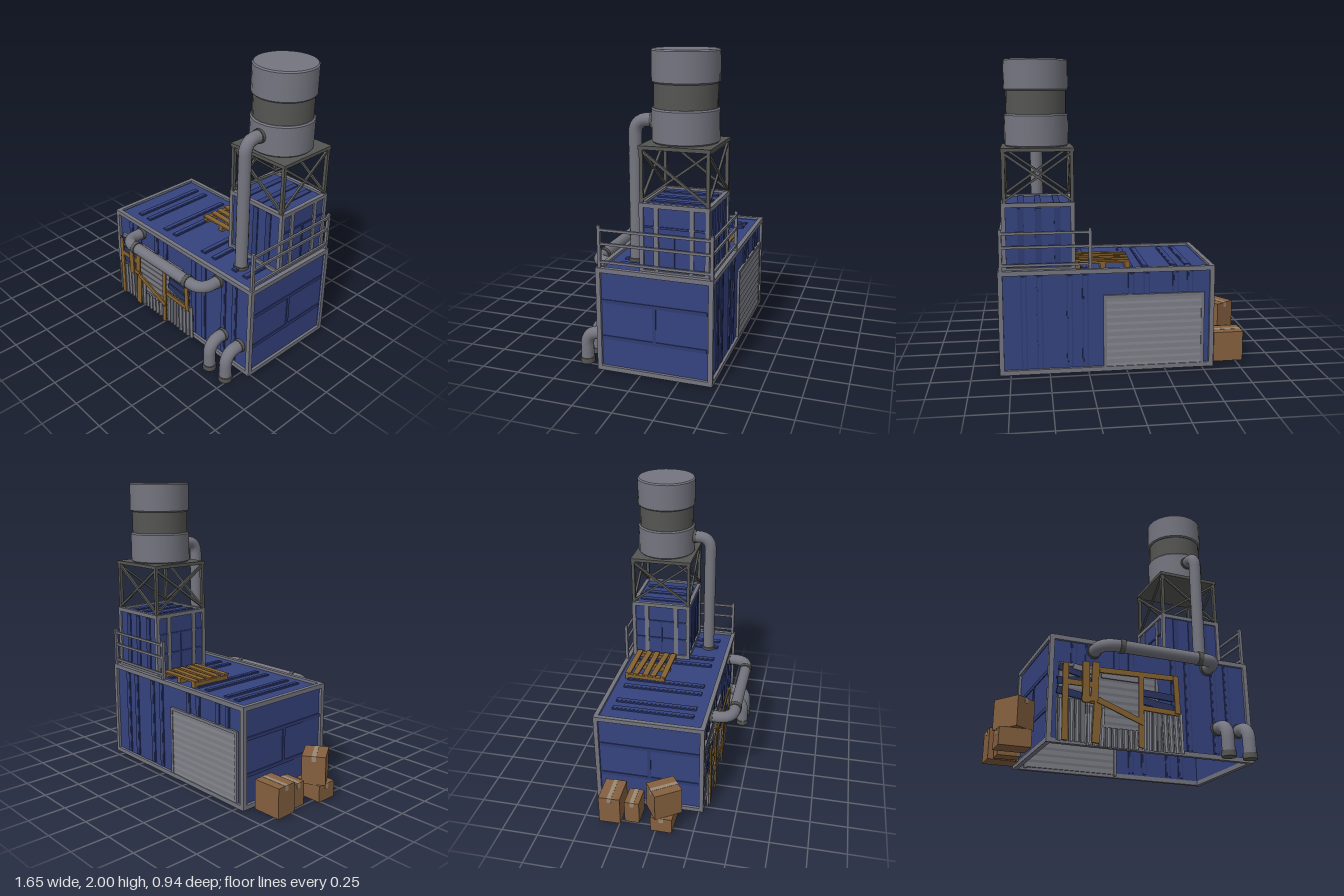
import * as THREE from 'three';

const mat = (color, extra = {}) => new THREE.MeshStandardMaterial({ color, ...extra });
const V = (x, y, z) => new THREE.Vector3(x, y, z);

export function createModel() {
  const root = new THREE.Group();
  const M = {
    frame: mat(0x74757f), blue: mat(0x35437f), rib: mat(0x303c74), darkBlue: mat(0x2a3563),
    dark: mat(0x555553), tank: mat(0x74757f), wood: mat(0x85622f), slat: mat(0x7d7e86),
    card: mat(0x85603f), tape: mat(0x9a8a75),
    sheet: mat(0x7f8088, { flatShading: true, side: THREE.DoubleSide }),
  };

  const group = (name, parent = root) => {
    const g = new THREE.Group();
    g.name = name;
    parent.add(g);
    return g;
  };
  const add = (parent, name, geo, m, x = 0, y = 0, z = 0) => {
    const mesh = new THREE.Mesh(geo, m);
    mesh.name = name;
    mesh.position.set(x, y, z);
    parent.add(mesh);
    return mesh;
  };
  // box given by its minimum and maximum corners
  const box = (p, name, m, x0, x1, y0, y1, z0, z1) =>
    add(p, name, new THREE.BoxGeometry(x1 - x0, y1 - y0, z1 - z0), m, (x0 + x1) / 2, (y0 + y1) / 2, (z0 + z1) / 2);
  // square bar between two points
  const bar = (p, name, m, a, b, w, d = w) => {
    const mesh = add(p, name, new THREE.BoxGeometry(w, d, a.distanceTo(b)), m);
    mesh.position.copy(a).lerp(b, 0.5);
    mesh.lookAt(b);
    return mesh;
  };
  // twelve edge beams of a box
  const edges = (p, x0, x1, y0, y1, z0, z1, w) => {
    for (const y of [y0, y1 - w]) {
      for (const z of [z0, z1 - w]) box(p, 'longBeam', M.frame, x0, x1, y, y + w, z, z + w);
      for (const x of [x0, x1 - w]) box(p, 'crossBeam', M.frame, x, x + w, y, y + w, z0, z1);
    }
    for (const x of [x0, x1 - w]) for (const z of [z0, z1 - w])
      box(p, 'cornerPost', M.frame, x, x + w, y0, y1, z, z + w);
  };
  // round pipe with rounded corners
  const pipe = (p, name, pts, r, bend) => {
    const path = new THREE.CurvePath();
    let prev = pts[0];
    for (let i = 1; i < pts.length - 1; i++) {
      const c = pts[i];
      const a = c.clone().add(pts[i - 1].clone().sub(c).setLength(bend));
      const b = c.clone().add(pts[i + 1].clone().sub(c).setLength(bend));
      path.add(new THREE.LineCurve3(prev, a));
      path.add(new THREE.QuadraticBezierCurve3(a, c.clone().lerp(a.clone().lerp(b, 0.5), 0.12), b));
      prev = b;
    }
    path.add(new THREE.LineCurve3(prev, pts[pts.length - 1]));
    return add(p, name, new THREE.TubeGeometry(path, 60, r, 16), M.tank);
  };
  const flange = (p, r, len, axis, x, y, z) => {
    const f = add(p, 'flange', new THREE.CylinderGeometry(r, r, len, 20), M.dark, x, y, z);
    if (axis === 'x') f.rotation.z = Math.PI / 2;
    if (axis === 'z') f.rotation.x = Math.PI / 2;
  };

  // Main container, open underneath
  const body = group('container');
  const [X0, X1, Y0, Y1, Z0, Z1] = [-0.57, 0.82, 0.01, 0.69, -0.47, 0.28];
  edges(body, X0, X1, Y0, Y1, Z0, Z1, 0.03);
  box(body, 'frontWall', M.blue, X0 + 0.01, X1 - 0.01, 0.02, 0.68, 0.25, 0.262);
  box(body, 'backWall', M.blue, X0 + 0.01, X1 - 0.01, 0.02, 0.68, -0.452, -0.44);
  box(body, 'rightWall', M.blue, -0.552, -0.54, 0.02, 0.68, -0.45, 0.26);
  box(body, 'leftWall', M.blue, 0.79, 0.802, 0.02, 0.68, -0.45, 0.26);
  box(body, 'roof', M.blue, X0 + 0.01, X1 - 0.01, 0.66, 0.672, -0.45, 0.26);
  const ribs = [-0.41, -0.315, -0.125, -0.025, 0.27, 0.37, 0.56, 0.66];
  for (const x of ribs) {
    box(body, 'roofRib', M.rib, x - 0.02, x + 0.02, 0.665, 0.682, -0.38, 0.18);
    box(body, 'roofRibCap', M.blue, x - 0.011, x + 0.011, 0.67, 0.684, -0.375, 0.175);
    for (const s of [1, -1]) {
      const z = s > 0 ? 0.256 : -0.446;
      box(body, 'wallRib', M.rib, x - 0.02, x + 0.02, 0.05, 0.655, z - 0.013, z + 0.013);
      box(body, 'wallRibCap', M.blue, x - 0.011, x + 0.011, 0.055, 0.65, z - 0.015, z + 0.015);
    }
  }
  for (const x of [-0.546, 0.796]) {
    for (const y of [0.23, 0.47]) box(body, 'endRail', M.rib, x - 0.012, x + 0.012, y - 0.012, y + 0.012, -0.43, 0.25);
    box(body, 'endStile', M.rib, x - 0.012, x + 0.012, 0.23, 0.47, -0.107, -0.085);
  }

  // Roller shutters in the front and back walls
  for (const z of [0.256, -0.446]) {
    const s = group(z > 0 ? 'frontShutter' : 'backShutter');
    box(s, 'shutterPanel', M.slat, -0.49, 0.14, 0.03, 0.5, z - 0.016, z + 0.016);
    for (let i = 0; i < 10; i++) {
      const slat = add(s, 'slat', new THREE.BoxGeometry(0.62, 0.046, 0.03), M.slat, -0.175, 0.06 + i * 0.046, z);
      slat.rotation.x = 0.22;
    }
    for (const x of [-0.495, 0.145]) box(s, 'shutterJamb', M.frame, x - 0.01, x + 0.01, 0.02, 0.51, z - 0.022, z + 0.022);
    box(s, 'shutterHead', M.frame, -0.505, 0.155, 0.495, 0.515, z - 0.022, z + 0.022);
  }

  // Barricade of corrugated sheets and boards
  const barricade = group('barricade');
  const sheet = (x, y, w, h, n, tilt, z) => {
    const g = new THREE.PlaneGeometry(w, h, n * 4, 1), p = g.attributes.position;
    for (let i = 0; i < p.count; i++) p.setZ(i, (i % (n * 4 + 1)) % 4 < 2 ? 0.007 : -0.007);
    add(barricade, 'corrugatedSheet', g, M.sheet, x, y, z).rotation.z = tilt;
  };
  sheet(-0.42, 0.15, 0.21, 0.26, 6, 0.02, 0.3);
  sheet(-0.28, 0.13, 0.12, 0.24, 3, -0.03, 0.295);
  sheet(0.09, 0.15, 0.13, 0.27, 4, -0.02, 0.295);
  sheet(0.23, 0.15, 0.15, 0.27, 4, 0.02, 0.3);
  sheet(-0.11, 0.07, 0.22, 0.12, 6, 0.01, 0.295);
  const plank = (name, m, x0, y0, x1, y1, w, z) => bar(barricade, name, m, V(x0, y0, z), V(x1, y1, z), 0.01, w);
  for (const [x0, y0, x1, y1] of [[-0.52, 0.33, -0.31, 0.3], [-0.52, 0.39, -0.3, 0.41], [-0.51, 0.48, -0.33, 0.44], [0.03, 0.33, 0.25, 0.3], [0.04, 0.38, 0.25, 0.37]])
    plank('bluePlank', M.darkBlue, x0, y0, x1, y1, 0.045, 0.29);
  plank('greyPlank', M.slat, -0.42, 0.49, -0.3, 0.47, 0.035, 0.295);
  plank('greyPlank', M.slat, -0.24, 0.46, 0.02, 0.46, 0.04, 0.293);
  const boards = [
    [-0.47, 0.02, -0.475, 0.5, 0.036], [-0.28, 0.02, -0.265, 0.3, 0.05], [-0.345, 0.26, -0.35, 0.52, 0.046],
    [-0.29, 0.26, -0.28, 0.53, 0.046], [0.015, 0.02, 0.02, 0.5, 0.034], [0.265, 0.26, 0.255, 0.51, 0.036],
    [-0.49, 0.38, -0.26, 0.38, 0.034], [-0.26, 0.48, 0.26, 0.495, 0.034], [-0.27, 0.285, 0.03, 0.175, 0.036],
    [0.01, 0.275, 0.28, 0.265, 0.032], [-0.37, 0.285, -0.25, 0.29, 0.03],
  ];
  boards.forEach(([x0, y0, x1, y1, w], i) => plank('board', M.wood, x0, y0, x1, y1, w, 0.311 + (i % 3) * 0.006));

  // Upper cabin on the roof
  const cabin = group('upperCabin');
  edges(cabin, 0.33, 0.79, 0.675, 1.115, -0.435, 0, 0.027);
  box(cabin, 'cabinPanels', M.blue, 0.342, 0.778, 0.68, 1.1, -0.423, -0.012);
  for (const x of [0.44, 0.56, 0.67]) {
    for (const z of [-0.012, -0.423]) box(cabin, 'cabinRib', M.rib, x - 0.02, x + 0.02, 0.71, 1.08, z - 0.008, z + 0.008);
    box(cabin, 'cabinRoofRib', M.rib, x - 0.02, x + 0.02, 1.09, 1.108, -0.39, -0.04);
  }
  for (const x of [0.342, 0.778]) {
    for (const z of [-0.105, -0.325]) box(cabin, 'sideStile', M.frame, x - 0.009, x + 0.009, 0.7, 1.09, z - 0.015, z + 0.015);
    box(cabin, 'sideCentre', M.rib, x - 0.006, x + 0.006, 0.7, 0.97, -0.22, -0.21);
    for (const y of [0.83, 0.97]) box(cabin, 'sideRail', M.rib, x - 0.007, x + 0.007, y - 0.006, y + 0.006, -0.42, -0.02);
  }

  // Guard railing along the back and left edges
  const rail = group('railing');
  for (const [x, z] of [[0.238, -0.457], [0.8, -0.457], [0.8, 0.258]])
    box(rail, 'railPost', M.frame, x - 0.01, x + 0.01, 0.68, 0.955, z - 0.01, z + 0.01);
  for (const y of [0.725, 0.84, 0.928]) {
    box(rail, 'backRail', M.frame, 0.238, 0.8, y - 0.008, y + 0.008, -0.464, -0.45);
    box(rail, 'leftRail', M.frame, 0.793, 0.807, y - 0.008, y + 0.008, -0.457, 0.258);
  }

  // Braced stand for the tank
  const stand = group('tankStand');
  const [sx0, sx1, sz0, sz1] = [0.346, 0.77, -0.42, -0.013];
  box(stand, 'platform', M.dark, 0.33, 0.785, 1.432, 1.455, -0.435, 0.003);
  const corners = [[sx0, sz0], [sx1, sz0], [sx1, sz1], [sx0, sz1]];
  corners.forEach(([x, z], i) => {
    const [u, w] = corners[(i + 1) % 4];
    box(stand, 'leg', M.dark, x - 0.011, x + 0.011, 1.1, 1.44, z - 0.011, z + 0.011);
    bar(stand, 'brace', M.dark, V(x, 1.125, z), V(u, 1.425, w), 0.016);
    bar(stand, 'brace', M.dark, V(x, 1.425, z), V(u, 1.125, w), 0.014);
  });

  // Water tank in three drums
  const tank = group('tank');
  const drum = (name, m, r, y0, y1, b) => add(tank, name, new THREE.LatheGeometry(
    [[0, y0], [r - b, y0], [r - b, y0], [r, y0 + b], [r, y0 + b], [r, y1 - b], [r, y1 - b], [r - b, y1], [r - b, y1], [0, y1]]
      .map(([x, y]) => new THREE.Vector2(x, y)), 24), m, 0.558, 0, -0.217);
  drum('lowerDrum', M.tank, 0.205, 1.455, 1.66, 0.009);
  drum('middleBand', M.dark, 0.192, 1.64, 1.82, 0.002);
  drum('upperDrum', M.tank, 0.205, 1.805, 2, 0.009);

  // Pipework
  const pipes = group('pipes');
  pipe(pipes, 'tankPipe', [V(0.557, 0.665, 0.107), V(0.557, 1.573, 0.107), V(0.557, 1.573, -0.04)], 0.042, 0.08);
  flange(pipes, 0.048, 0.02, 'z', 0.557, 1.573, -0.008);
  flange(pipes, 0.05, 0.02, 'y', 0.557, 0.682, 0.107);
  pipe(pipes, 'wallPipe', [V(-0.282, 0.613, 0.25), V(-0.282, 0.613, 0.42), V(0.513, 0.613, 0.42), V(0.513, 0.613, 0.25)], 0.04, 0.09);
  for (const x of [-0.282, 0.513]) flange(pipes, 0.046, 0.02, 'z', x, 0.613, 0.278);
  for (const x of [-0.155, 0.38]) flange(pipes, 0.046, 0.032, 'x', x, 0.613, 0.42);
  for (const x of [0.57, 0.722]) {
    pipe(pipes, 'drainPipe', [V(x, 0.01, 0.395), V(x, 0.212, 0.395), V(x, 0.212, 0.25)], 0.042, 0.085);
    flange(pipes, 0.047, 0.036, 'y', x, 0.018, 0.395);
    flange(pipes, 0.047, 0.02, 'z', x, 0.212, 0.278);
  }

  // Wooden pallet on the roof
  const pallet = group('pallet');
  pallet.position.set(0.147, 0.672, -0.248);
  pallet.rotation.y = -0.03;
  for (const x of [-0.16, 0, 0.16]) box(pallet, 'runner', M.wood, x - 0.017, x + 0.017, 0, 0.037, -0.145, 0.145);
  [0.02, -0.03, 0.01, -0.05, 0.02].forEach((turn, i) => {
    add(pallet, 'slat', new THREE.BoxGeometry(0.35, 0.011, 0.04), M.wood, 0, 0.043, -0.13 + i * 0.065).rotation.y = turn;
  });

  // Cardboard boxes beside the right end
  const cartons = group('cartons');
  for (const [x, y, z, w, h, d, turn] of [
    [-0.692, 0.01, -0.317, 0.2, 0.2, 0.145, 0.02], [-0.685, 0.01, -0.17, 0.148, 0.16, 0.1, 0],
    [-0.71, 0.01, 0.042, 0.2, 0.11, 0.145, 0], [-0.709, 0.12, 0.042, 0.192, 0.19, 0.155, -0.97],
  ]) {
    const c = group('carton', cartons);
    c.position.set(x, y, z);
    c.rotation.y = turn;
    add(c, 'cartonBody', new THREE.BoxGeometry(w, h, d), M.card, 0, h / 2, 0);
    add(c, 'tapeTop', new THREE.BoxGeometry(w, 0.003, 0.028), M.tape, 0, h, 0);
    for (const s of [-1, 1]) add(c, 'tapeEnd', new THREE.BoxGeometry(0.003, 0.035, 0.028), M.tape, s * w / 2, h - 0.016, 0);
  }
  return root;
}
